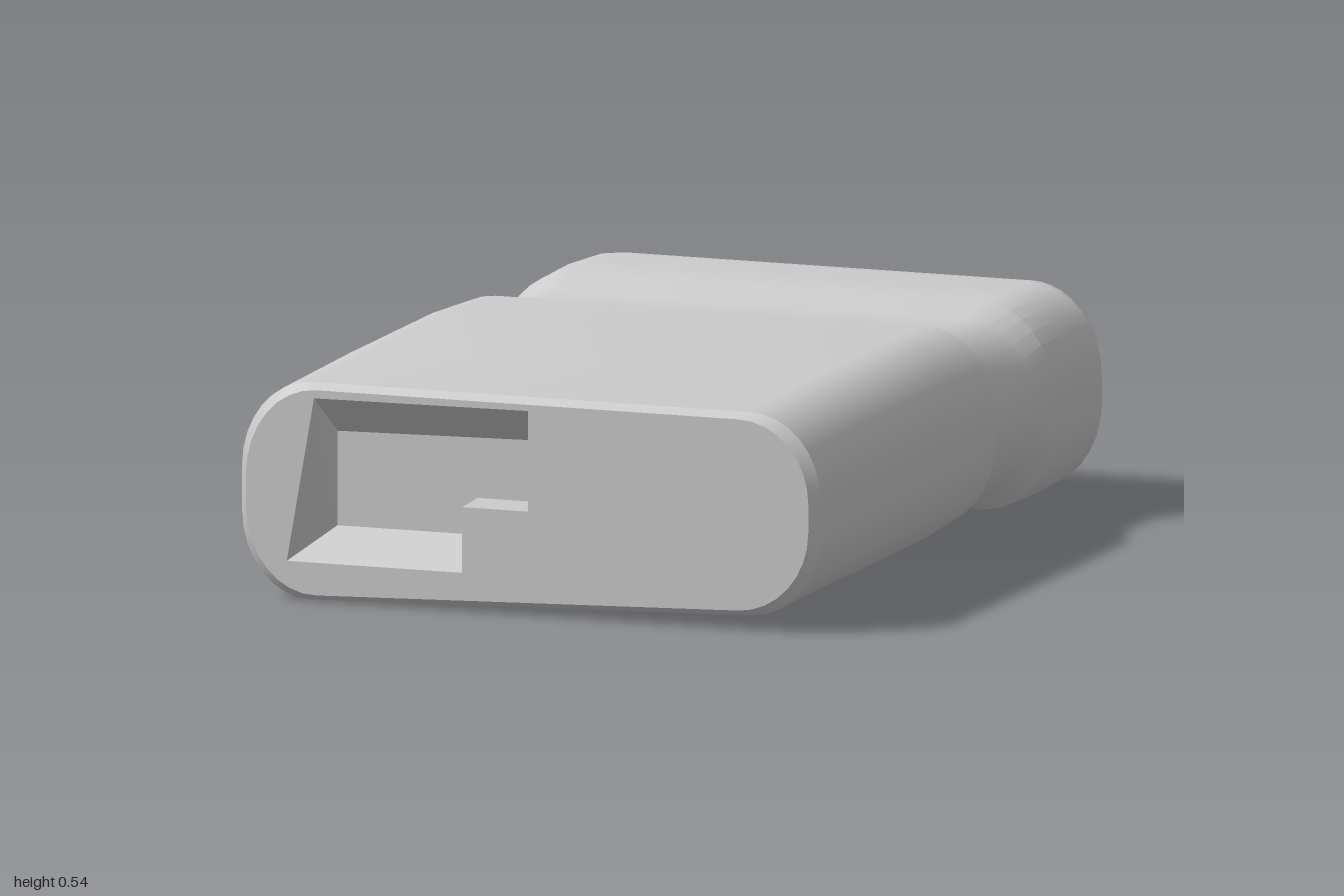
import * as THREE from 'three';
import { toCreasedNormals } from 'three/addons/utils/BufferGeometryUtils.js';

const V = (x, y, z) => new THREE.Vector3(x, y, z);
const STEPS = 8; // segments per rounded corner

// Rounded outline at depth z, counter-clockwise as seen from +z.
// yl / yr: underside height at the -x and +x ends. slot: [bottom, top] of a cut open at +x.
function section([z, x0, x1, yl, yr, y1, rx = 0.18, ry = 0.215], slot) {
  const from = slot ? Math.asin((slot[1] - (y1 - ry)) / ry) : 0;
  const to = slot ? Math.asin((yl + ry - slot[0]) / ry) : 0;
  const q = Math.PI / 2;
  const corners = [
    [x1 - rx, y1 - ry, from, q],
    [x0 + rx, y1 - ry, q, 2 * q],
    [x0 + rx, yl + ry, 2 * q, 3 * q],
    [x1 - rx, yl + ry, 3 * q, 4 * q - to],
  ];
  const ring = [];
  for (const [cx, cy, a, b] of corners) {
    for (let i = 0; i <= STEPS; i++) {
      const t = a + ((b - a) * i) / STEPS;
      const x = cx + rx * Math.cos(t);
      const y = cy + ry * Math.sin(t);
      const slope = (yr - yl) * ((x - x0) / (x1 - x0)) * ((y1 - y) / (y1 - yl));
      ring.push(V(x, y + slope, z));
    }
  }
  if (slot) ring.push(V(-0.54, slot[0], z), V(-0.54, slot[1], z));
  return ring;
}

function geometryFrom(points, index) {
  const g = new THREE.BufferGeometry().setFromPoints(points);
  g.setIndex(index);
  return toCreasedNormals(g, 0.5);
}

// Skin between closed rings; rings running towards +z face outward
function loft(rings) {
  const n = rings[0].length;
  const index = [];
  for (let i = 0; i < rings.length - 1; i++) {
    for (let j = 0; j < n; j++) {
      const a = i * n + j, b = i * n + ((j + 1) % n);
      index.push(a, b, b + n, a, b + n, a + n);
    }
  }
  return geometryFrom(rings.flat(), index);
}

// Flat face filling a ring, with optional hole
function cap(ring, facesBack = false, hole = null) {
  const faces = THREE.ShapeUtils.triangulateShape(ring, hole ? [hole] : []);
  const index = faces.flatMap(([a, b, c]) => (facesBack ? [a, c, b] : [a, b, c]));
  return geometryFrom(hole ? [...ring, ...hole] : ring, index);
}

export function createModel() {
  const group = new THREE.Group();
  const material = new THREE.MeshStandardMaterial({ color: 0xcccccc });
  const add = (name, geometry) => {
    const mesh = new THREE.Mesh(geometry, material);
    mesh.name = name;
    group.add(mesh);
  };

  // Main shell: rear block, narrow neck, long front body
  const shell = [
    [-0.92, -0.7, 0.73, 0.035, 0.035, 0.533],
    [-0.8, -0.705, 0.73, 0.03, 0.03, 0.537],
    [-0.61, -0.7, 0.725, 0.03, 0.03, 0.535],
    [-0.545, -0.69, 0.7, 0.065, 0.065, 0.507],
    [-0.4, -0.695, 0.695, 0.07, 0.07, 0.505],
    [-0.285, -0.7, 0.705, 0.075, 0.075, 0.507],
    [-0.23, -0.74, 0.725, 0.055, 0.055, 0.542],
    [0, -0.745, 0.73, 0.035, 0.045, 0.55],
    [0.55, -0.745, 0.733, 0.01, 0.045, 0.545],
    [0.975, -0.745, 0.74, 0, 0.045, 0.535],
    [1, -0.725, 0.72, 0.015, 0.06, 0.52],
  ].map((s) => section(s));
  add('bodyShell', loft(shell));
  add('slotFloor', cap(shell[0], true));

  // Rear rim around a tapering slot that is open at the +x side
  const rim = [
    section([-1, -0.665, 0.675, 0.065, 0.065, 0.505, 0.16, 0.19], [0.225, 0.42]),
    section([-0.975, -0.69, 0.71, 0.043, 0.043, 0.525], [0.24, 0.405]),
    section([-0.92, -0.7, 0.73, 0.035, 0.035, 0.533], [0.255, 0.365]),
  ];
  add('rearRim', loft(rim));
  add('rearRimFace', cap(rim[0], true));

  // Front face with a stepped recess whose top and bottom slope inward
  const outer = [[-0.55, 0.5], [-0.62, 0.1], [-0.17, 0.1], [-0.17, 0.26], [0, 0.26], [0, 0.505]];
  const inner = [[-0.54, 0.4], [-0.54, 0.17], [-0.18, 0.17], [-0.18, 0.26], [-0.01, 0.26], [-0.01, 0.41]];
  const mouth = outer.map(([x, y]) => V(x, y, 1));
  const floor = inner.map(([x, y]) => V(x, y, 0.87));
  add('frontFace', cap(shell[shell.length - 1], false, mouth));
  add('recessWalls', loft([mouth, floor]));
  add('recessFloor', cap(floor));

  return group;
}
